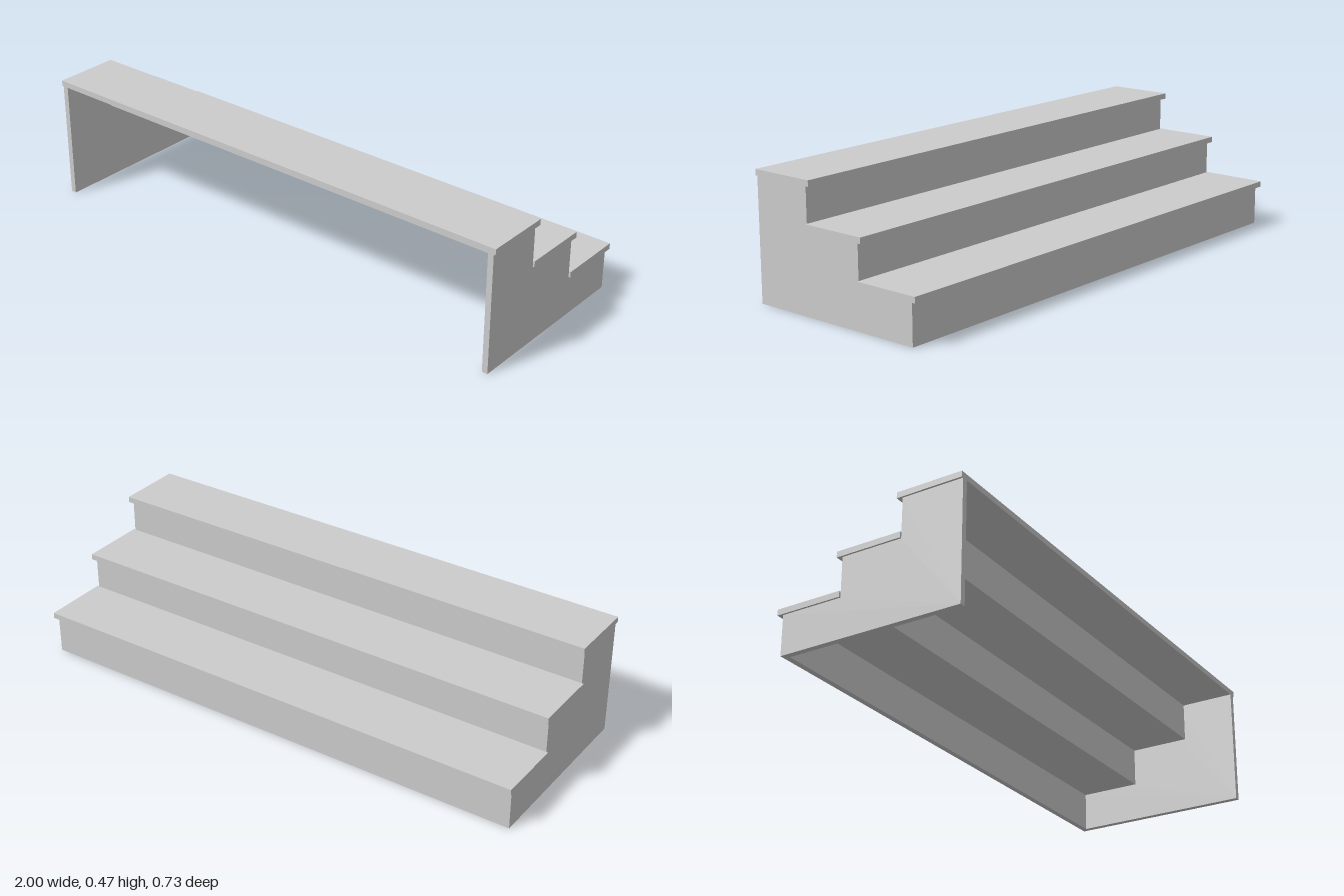
import * as THREE from 'three';

const material = new THREE.MeshStandardMaterial({ color: 0xcccccc });
const FRONT = 0.364, OUTER = 0.993, BOARD = 0.022;
// Each step: underside of the tread, and outer z of its riser
const steps = [
  { y: 0.151, z: -0.345 },
  { y: 0.301, z: -0.108 },
  { y: 0.452, z: 0.128 },
];

export function createModel() {
  const group = new THREE.Group();

  function add(name, geometry, x, y, z) {
    const mesh = new THREE.Mesh(geometry, material);
    mesh.name = name;
    mesh.position.set(x, y, z);
    group.add(mesh);
    return mesh;
  }

  // Stepped side panels, drawn in (z, y) and turned to face sideways
  const outline = [[FRONT, 0], [steps[0].z, 0]];
  steps.forEach((s, i) => {
    const end = i < 2 ? steps[i + 1].z : FRONT;
    outline.push([s.z, s.y], [end, s.y]);
  });
  const shape = new THREE.Shape(outline.map(([z, y]) => new THREE.Vector2(-z, y)));
  const panel = new THREE.ExtrudeGeometry(shape, { depth: BOARD, bevelEnabled: false });
  panel.rotateY(Math.PI / 2);
  add('leftSidePanel', panel, OUTER - BOARD, 0, 0);
  add('rightSidePanel', panel, -OUTER, 0, 0);

  steps.forEach((s, i) => {
    // Riser between the side panels
    const bottom = i ? steps[i - 1].y : 0;
    const height = s.y - bottom;
    add('riser' + (i + 1), new THREE.BoxGeometry(2 * (OUTER - BOARD), height, BOARD),
      0, bottom + height / 2, s.z + BOARD / 2);

    // Tread overhanging its riser and butting against the next one
    const near = i < 2 ? steps[i + 1].z : FRONT;
    const far = s.z - 0.019;
    add('tread' + (i + 1), new THREE.BoxGeometry(2, BOARD, near - far),
      0, s.y + BOARD / 2, (near + far) / 2);
  });

  return group;
}
